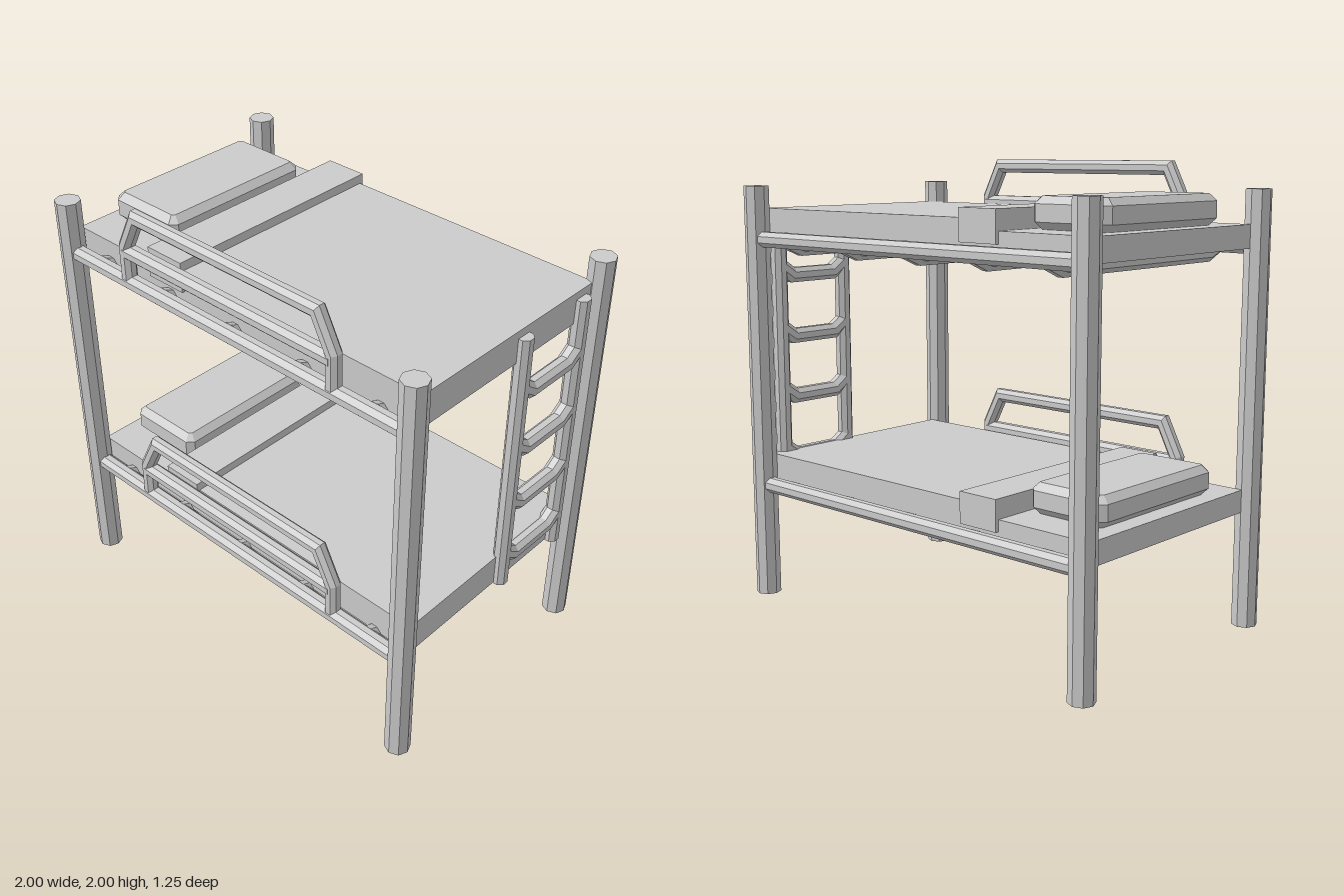
import * as THREE from 'three';

const material = new THREE.MeshStandardMaterial({ color: 0xcccccc, flatShading: true });
const POST_X = 0.945, POST_Z = 0.567, SIDES = 8;

function add(parent, name, geometry, x = 0, y = 0, z = 0) {
  const mesh = new THREE.Mesh(geometry, material);
  mesh.name = name;
  mesh.position.set(x, y, z);
  parent.add(mesh);
  return mesh;
}

// Octagonal pipe along a flat path, mitred at its bends; normal is the path plane's normal
function pipe(path, r, normal) {
  const pts = path.map(p => new THREE.Vector3(...p));
  const n = new THREE.Vector3(...normal);
  const sides = pts.slice(1).map((p, i) => n.clone().cross(p.clone().sub(pts[i]).normalize()));
  const R = r / Math.cos(Math.PI / SIDES);
  const rings = pts.map((p, i) => {
    const a = sides[Math.max(i - 1, 0)], b = sides[Math.min(i, sides.length - 1)];
    const m = a.clone().add(b).normalize();
    m.divideScalar(m.dot(a));
    return Array.from({ length: SIDES }, (_, j) => {
      const t = (j + 0.5) / SIDES * Math.PI * 2;
      return p.clone().addScaledVector(m, R * Math.cos(t)).addScaledVector(n, R * Math.sin(t));
    });
  });
  const out = [];
  const tri = (...v) => v.forEach(q => out.push(q.x, q.y, q.z));
  const last = pts.length - 1;
  for (let j = 0; j < SIDES; j++) {
    const k = (j + 1) % SIDES;
    for (let i = 0; i < last; i++) {
      tri(rings[i][j], rings[i][k], rings[i + 1][k]);
      tri(rings[i][j], rings[i + 1][k], rings[i + 1][j]);
    }
    tri(pts[0], rings[0][k], rings[0][j]);
    tri(pts[last], rings[last][j], rings[last][k]);
  }
  const g = new THREE.BufferGeometry();
  g.setAttribute('position', new THREE.Float32BufferAttribute(out, 3));
  g.computeVertexNormals();
  return g;
}

// Box given by its limits
function block(parent, name, x0, x1, y0, y1, z0, z1) {
  add(parent, name, new THREE.BoxGeometry(x1 - x0, y1 - y0, z1 - z0),
    (x0 + x1) / 2, (y0 + y1) / 2, (z0 + z1) / 2);
}

// Cushion with chamfered edges and clipped corners
function pillowGeometry(w, h, d, c) {
  const x = w / 2 - c, z = d / 2 - c, k = 0.012;
  const shape = new THREE.Shape([
    [x - k, -z], [x, -z + k], [x, z - k], [x - k, z],
    [-x + k, z], [-x, z - k], [-x, -z + k], [-x + k, -z],
  ].map(p => new THREE.Vector2(...p)));
  const g = new THREE.ExtrudeGeometry(shape, {
    depth: h - 2 * c, bevelEnabled: true, bevelSegments: 1, bevelSize: c, bevelThickness: c,
  });
  g.translate(0, 0, -(h - 2 * c) / 2);
  g.rotateX(-Math.PI / 2);
  return g;
}

// One bunk: rails, slats, bedding and guard rail
function bunk(name, y) {
  const g = new THREE.Group();
  g.name = name;
  g.position.y = y;

  for (const z of [POST_Z, -POST_Z])
    add(g, 'sideRail', pipe([[-POST_X, 0.523, z], [POST_X, 0.523, z]], 0.034, [0, 0, 1]));

  // Slats with upturned ends
  for (let i = -2; i <= 2; i++) {
    const x = i * 0.377;
    add(g, 'slat', pipe([[x, 0.527, -POST_Z], [x, 0.487, -0.475],
      [x, 0.487, 0.475], [x, 0.527, POST_Z]], 0.034, [1, 0, 0]));
  }

  // Bedding
  block(g, 'mattress', -0.945, 0.94, 0.515, 0.615, -0.528, 0.515);
  block(g, 'blanket', -0.47, 0.94, 0.56, 0.66, -0.528, 0.515);
  block(g, 'blanketFold', -0.485, -0.29, 0.565, 0.7, -0.545, 0.53);
  add(g, 'pillow', pillowGeometry(0.38, 0.13, 0.75, 0.03), -0.7, 0.68, -0.005);

  // Guard rail on the front
  add(g, 'guardFrame', pipe([[-0.57, 0.523, POST_Z], [-0.57, 0.69, POST_Z], [-0.493, 0.84, POST_Z],
    [0.493, 0.84, POST_Z], [0.57, 0.69, POST_Z], [0.57, 0.523, POST_Z]], 0.031, [0, 0, 1]));
  add(g, 'guardBar', pipe([[-0.57, 0.665, POST_Z], [0.57, 0.665, POST_Z]], 0.033, [0, 0, 1]));
  return g;
}

export function createModel() {
  const bed = new THREE.Group();
  bed.name = 'bunkBed';

  // Corner posts
  for (const sx of [-1, 1]) for (const sz of [-1, 1])
    add(bed, 'post', new THREE.CylinderGeometry(0.056, 0.056, 1.89, SIDES), sx * POST_X, 0.945, sz * POST_Z);

  bed.add(bunk('lowerBunk', 0), bunk('upperBunk', 1.13));

  // Ladder at the left end
  const ladder = new THREE.Group();
  ladder.name = 'ladder';
  ladder.position.x = POST_X;
  bed.add(ladder);
  for (const z of [-0.075, -0.45])
    add(ladder, 'ladderPole', pipe([[0, 0.51, z], [0, 1.755, z]], 0.034, [1, 0, 0]));
  for (let i = 0; i < 4; i++) {
    const y = 0.63 + i * 0.283;
    add(ladder, 'rung', pipe([[0, y + 0.047, -0.075], [0, y, -0.142],
      [0, y, -0.383], [0, y + 0.047, -0.45]], 0.034, [1, 0, 0]));
  }
  return bed;
}
